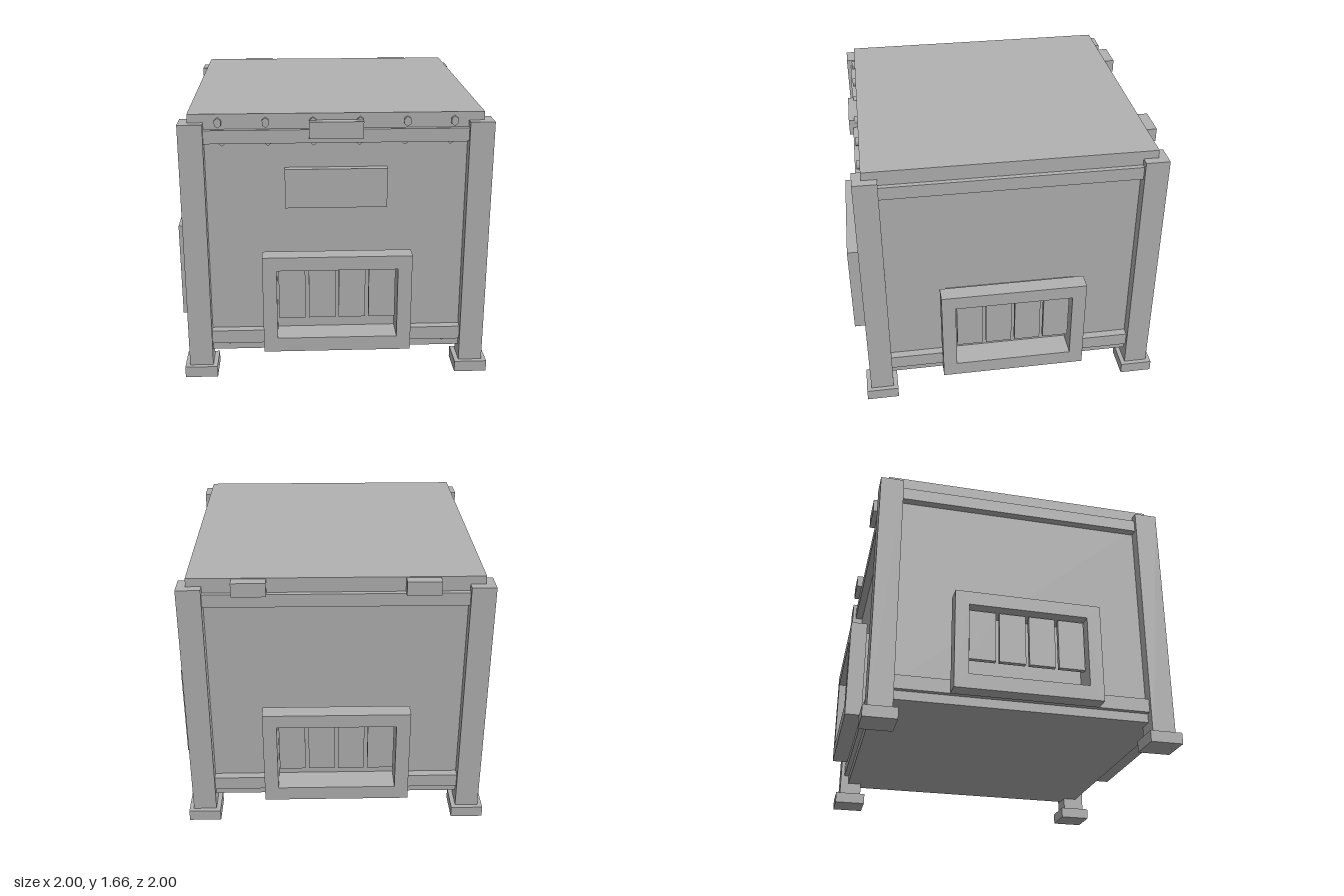
import * as THREE from 'three';

export function createModel() {
  const grey = new THREE.MeshStandardMaterial({ color: 0xb2b2b2 });
  grey.name = 'plain grey';
  const model = new THREE.Group();
  model.name = 'crate';

  const add = (parent, name, geometry) => {
    const mesh = new THREE.Mesh(geometry, grey);
    mesh.name = name;
    parent.add(mesh);
    return mesh;
  };
  // Box given by its minimum and maximum on each axis
  const box = (parent, name, [x0, x1], [y0, y1], [z0, z1]) =>
    add(parent, name, new THREE.BoxGeometry(x1 - x0, y1 - y0, z1 - z0))
      .position.set((x0 + x1) / 2, (y0 + y1) / 2, (z0 + z1) / 2);

  // Rectangular ring, extruded from z0 to z1
  const ring = (parent, name, [x0, x1, y0, y1], [a0, a1, b0, b1], z0, z1) => {
    const shape = new THREE.Shape([[x0, y0], [x1, y0], [x1, y1], [x0, y1]].map(p => new THREE.Vector2(...p)));
    shape.holes.push(new THREE.Path([[a0, b0], [a0, b1], [a1, b1], [a1, b0]].map(p => new THREE.Vector2(...p))));
    add(parent, name, new THREE.ExtrudeGeometry(shape, { depth: z1 - z0, bevelEnabled: false })).position.z = z0;
  };

  // Body, floor and lid
  box(model, 'body', [-0.84, 0.84], [0.2, 1.58], [-0.84, 0.84]);
  box(model, 'floor', [-0.86, 0.86], [0.15, 0.21], [-0.86, 0.86]);
  box(model, 'lid', [-0.86, 0.86], [1.57, 1.66], [-0.86, 0.86]);

  // Corner posts with square feet
  for (const sx of [-1, 1]) for (const sz of [-1, 1]) {
    const leg = new THREE.Group();
    leg.name = 'cornerPost';
    leg.position.set(sx * 0.842, 0, sz * 0.842);
    box(leg, 'post', [-0.072, 0.072], [0.01, 1.61], [-0.072, 0.072]);
    box(leg, 'foot', [-0.1, 0.1], [0, 0.07], [-0.1, 0.1]);
    model.add(leg);
  }

  // Each side has two rails and a framed vent
  for (let i = 0; i < 4; i++) {
    const side = new THREE.Group();
    side.name = 'side';
    side.rotation.y = i * Math.PI / 2;
    box(side, 'upperRail', [-0.78, 0.78], [1.49, 1.57], [0.83, 0.89]);
    box(side, 'lowerRail', [-0.78, 0.78], [0.205, 0.29], [0.83, 0.89]);
    const opening = [-0.362, 0.362, 0.29, 0.735];
    ring(side, 'ventFrame', [-0.447, 0.447, 0.2, 0.82], opening, 0.9, 1);
    ring(side, 'ventCollar', [-0.405, 0.405, 0.25, 0.775], opening, 0.835, 0.9);
    for (let k = 0; k < 4; k++) {
      const x = (k - 1.5) * 0.181;
      box(side, 'ventPanel', [x - 0.08, x + 0.08], [0.405, 0.72], [0.925, 0.955]);
    }
    model.add(side);
  }

  // Front plate and latch
  box(model, 'frontPlate', [-0.305, 0.3], [1.09, 1.33], [0.835, 0.885]);
  box(model, 'latch', [-0.16, 0.155], [1.52, 1.62], [0.85, 0.914]);

  // Rows of six-sided bolts on the front
  const boltRow = (spacing, y, z) => {
    for (let k = 0; k < 6; k++) {
      const bolt = add(model, 'bolt', new THREE.CylinderGeometry(0.03, 0.03, 0.04, 6).rotateX(Math.PI / 2));
      bolt.scale.x = 0.75;
      bolt.position.set((k - 2.5) * spacing, y, z);
    }
  };
  boltRow(0.274, 1.61, 0.86);
  boltRow(0.266, 1.5, 0.85);
  boltRow(0.266, 0.217, 0.85);

  // Hinge blocks on the back
  for (const s of [-1, 1]) {
    box(model, 'hinge', [s * 0.5 - 0.1, s * 0.5 + 0.1], [1.57, 1.655], [-0.924, -0.85]);
  }
  return model;
}
